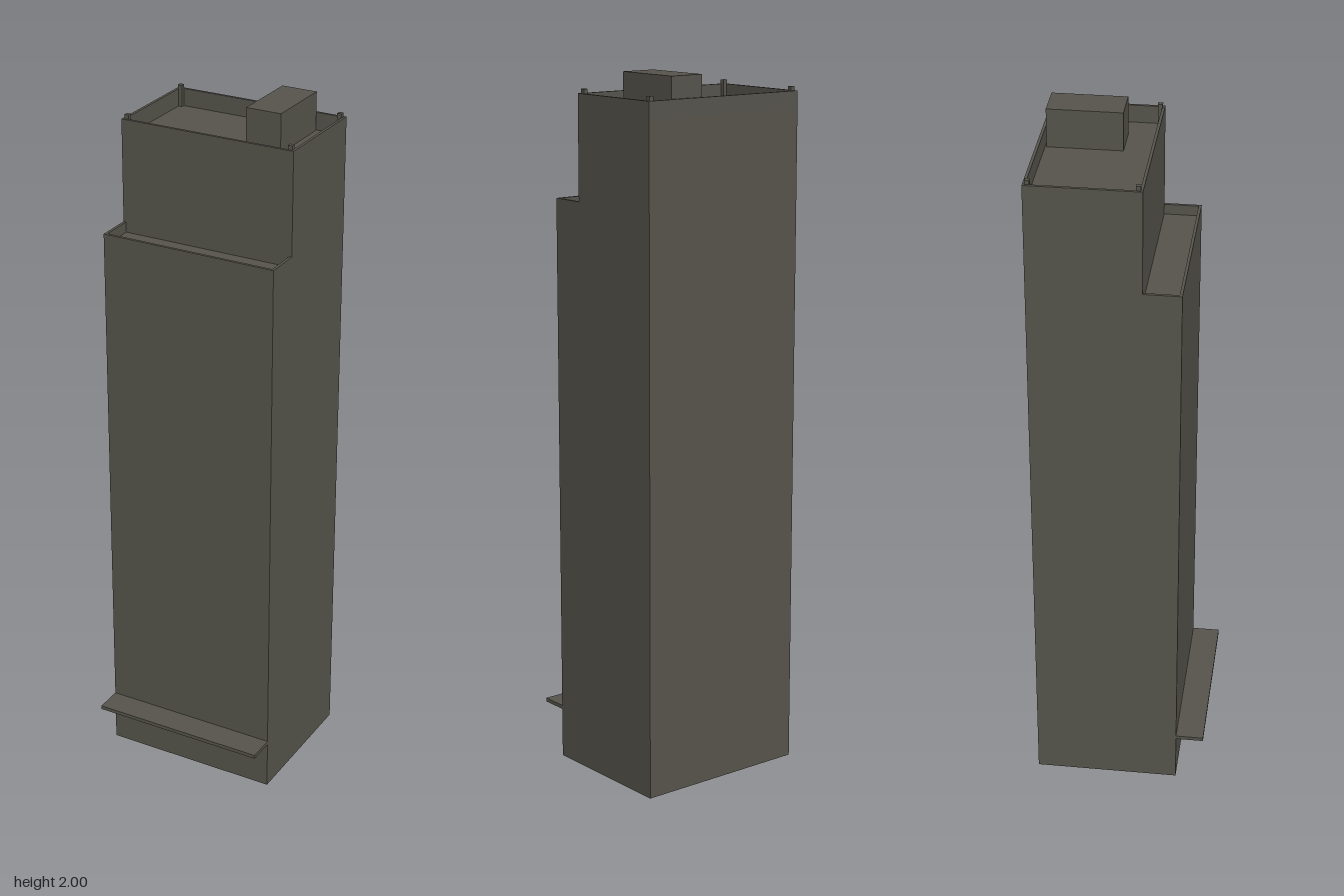
import * as THREE from 'three';

const W = 0.26;                             // half width
const BACK = -0.247, STEP = 0.063, FRONT = 0.167;
const ROOF = 1.94, ROOF_DECK = 1.89;
const TERRACE = 1.645, TERRACE_DECK = 1.615;
const T = 0.008;                            // parapet thickness

export function createModel() {
  const group = new THREE.Group();
  const material = new THREE.MeshStandardMaterial({ color: 0x56544c, side: THREE.DoubleSide });

  const add = (name, geometry, x = 0, y = 0, z = 0) => {
    const mesh = new THREE.Mesh(geometry, material);
    mesh.name = name;
    mesh.position.set(x, y, z);
    group.add(mesh);
    return mesh;
  };
  const box = (name, x0, x1, y0, y1, z0, z1) =>
    add(name, new THREE.BoxGeometry(x1 - x0, y1 - y0, z1 - z0), (x0 + x1) / 2, (y0 + y1) / 2, (z0 + z1) / 2);
  const wall = (name, y0, y1, z) =>
    add(name, new THREE.PlaneGeometry(2 * W, y1 - y0), 0, (y0 + y1) / 2, z);
  const deck = (name, y, z0, z1) =>
    add(name, new THREE.PlaneGeometry(2 * W, z1 - z0).rotateX(-Math.PI / 2), 0, y, (z0 + z1) / 2);
  const outline = (points) => points.map(([x, z]) => new THREE.Vector2(x, -z));
  const raise = (shape, height) =>
    new THREE.ExtrudeGeometry(shape, { depth: height, bevelEnabled: false }).rotateX(-Math.PI / 2);

  // Hollow tower shell, open at the bottom, with a setback at the front
  wall('frontWall', 0, TERRACE_DECK, FRONT);
  wall('upperFrontWall', TERRACE_DECK, ROOF_DECK, STEP);
  wall('backWall', 0, ROOF_DECK, BACK).rotation.y = Math.PI;
  const profile = new THREE.Shape([
    [-FRONT, 0], [-BACK, 0], [-BACK, ROOF_DECK], [-STEP, ROOF_DECK],
    [-STEP, TERRACE_DECK], [-FRONT, TERRACE_DECK],
  ].map(([u, y]) => new THREE.Vector2(u, y)));
  for (const [name, x] of [['leftWall', W], ['rightWall', -W]]) {
    add(name, new THREE.ShapeGeometry(profile), x).rotation.y = Math.PI / 2;
  }

  // Roof deck with a parapet all round
  deck('roofDeck', ROOF_DECK, BACK, STEP);
  const ring = new THREE.Shape(outline([[-W, BACK], [-W, STEP], [W, STEP], [W, BACK]]));
  const i = W - T;
  ring.holes.push(new THREE.Path(outline([
    [-i, BACK + T], [i, BACK + T], [i, STEP - T], [-i, STEP - T],
  ])));
  add('roofParapet', raise(ring, ROOF - ROOF_DECK), 0, ROOF_DECK);

  // Terrace on the setback with a parapet on three sides
  deck('terraceDeck', TERRACE_DECK, STEP, FRONT);
  const rail = new THREE.Shape(outline([
    [-W, STEP], [-W, FRONT], [W, FRONT], [W, STEP],
    [i, STEP], [i, FRONT - T], [-i, FRONT - T], [-i, STEP],
  ]));
  add('terraceParapet', raise(rail, TERRACE - TERRACE_DECK), 0, TERRACE_DECK);

  // Small posts in the roof corners
  for (const x of [-0.247, 0.247]) {
    for (const z of [-0.235, 0.051]) {
      box('cornerPost', x - 0.0065, x + 0.0065, ROOF_DECK, 1.952, z - 0.0065, z + 0.0065);
    }
  }

  // Rooftop hut and entrance canopy
  box('rooftopHut', 0.071, 0.175, ROOF_DECK, 2, -0.235, -0.028);
  box('entranceCanopy', -W, W, 0.144, 0.155, FRONT, 0.247);

  return group;
}
